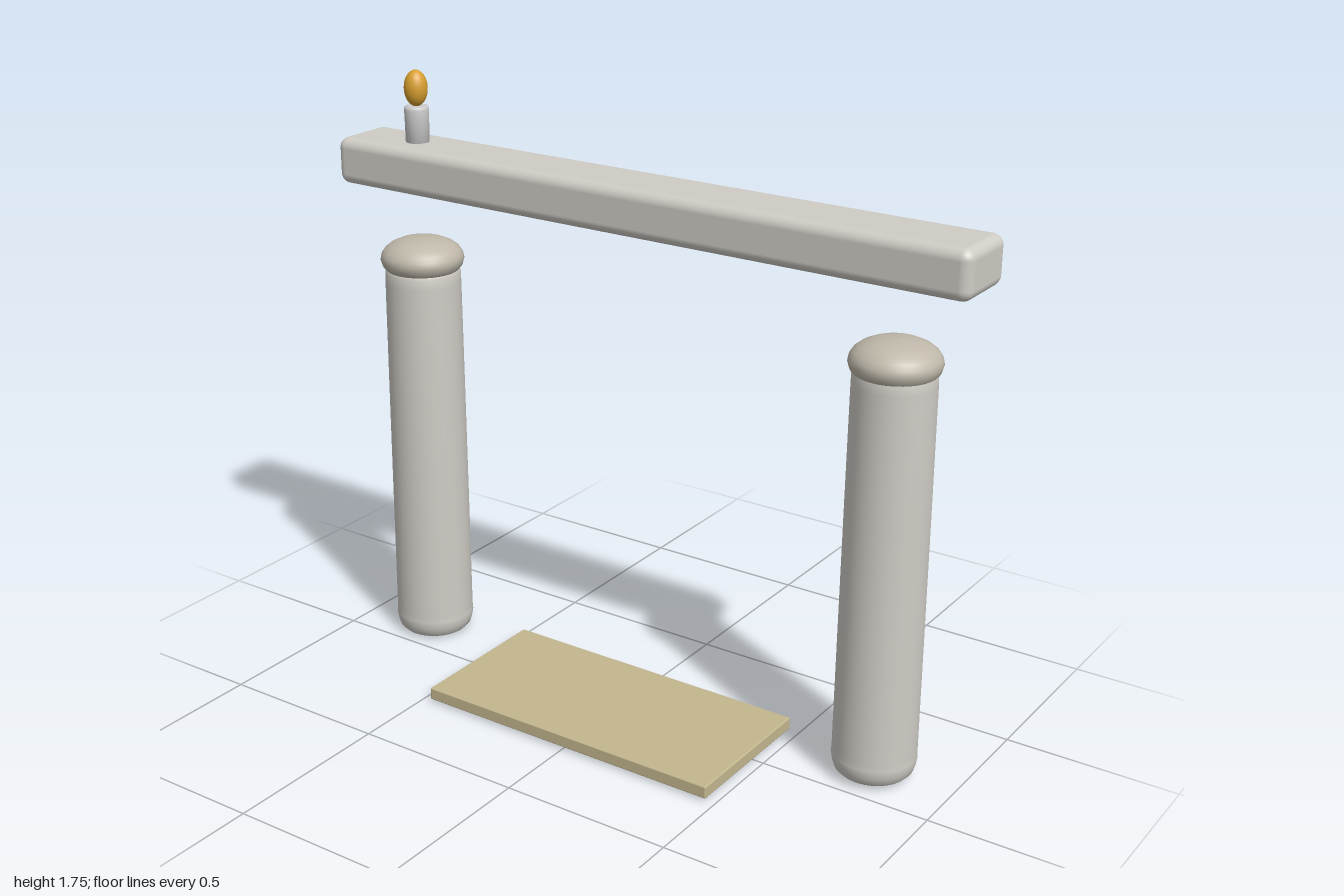
import * as THREE from 'three';
import { RoundedBoxGeometry } from 'three/addons/geometries/RoundedBoxGeometry.js';

const AXIS_Z = -0.135; // shared depth of columns, beam and candle

const material = (color) => new THREE.MeshStandardMaterial({ color });
const stone = material(0xcfccc5);
const capStone = material(0xbfb8aa);
const wax = material(0xcccccc);
const gold = material(0xd9a030);
const board = material(0xc4b78f);

function part(name, geometry, mat, x = 0, y = 0, z = 0) {
  const mesh = new THREE.Mesh(geometry, mat);
  mesh.name = name;
  mesh.position.set(x, y, z);
  return mesh;
}

// Turned solid from [radius, height] pairs, listed from bottom to top
const turned = (pairs, segments = 48) =>
  new THREE.LatheGeometry(pairs.map(([r, y]) => new THREE.Vector2(r, y)), segments);

// Column: rounded foot with a fine seam, slightly tapering shaft, domed cap
function column(name, x, y, height) {
  const group = new THREE.Group();
  group.name = name;
  group.position.set(x, y, AXIS_Z);
  const shaft = turned([
    [0, 0], [0.08, 0.001], [0.098, 0.006], [0.109, 0.017], [0.115, 0.035], [0.118, 0.052],
    [0.117, 0.06], [0.1165, 0.075], [0.115, 0.4], [0.113, 0.8], [0.111, 1.13],
    [0.11, 1.16], [0.103, 1.174], [0.09, 1.178], [0, 1.178],
  ]);
  const cap = turned([
    [0, -0.1], [0.085, -0.1], [0.105, -0.094], [0.117, -0.08], [0.122, -0.062], [0.119, -0.047],
    [0.11, -0.033], [0.094, -0.02], [0.07, -0.009], [0.04, -0.002], [0, 0],
  ]);
  group.add(part('shaft', shaft, stone), part('cap', cap, capStone, 0, height));
  return group;
}

export function createModel() {
  const model = new THREE.Group();
  model.name = 'mantel';

  model.add(column('rightColumn', -0.775, 0, 1.26));
  model.add(column('leftColumn', 0.769, 0.008, 1.247));

  // Floating mantel beam
  model.add(part('beam', new RoundedBoxGeometry(2, 0.135, 0.204, 5, 0.03), stone, 0, 1.477, AXIS_Z - 0.002));

  // Candle and flame standing on the beam
  const candle = turned([
    [0, 1.53], [0.034, 1.53], [0.035, 1.62], [0.036, 1.638], [0.033, 1.646], [0.026, 1.648], [0, 1.648],
  ], 32);
  model.add(part('candle', candle, wax, -0.777, 0, AXIS_Z));
  const flame = part('flame', new THREE.SphereGeometry(0.034, 32, 24), gold, -0.777, 1.698, AXIS_Z);
  flame.scale.y = 1.53;
  model.add(flame);

  // Hearth board
  model.add(part('hearthBoard', new RoundedBoxGeometry(0.946, 0.037, 0.45, 2, 0.004), board, 0, 0.026, 0.032));

  return model;
}
